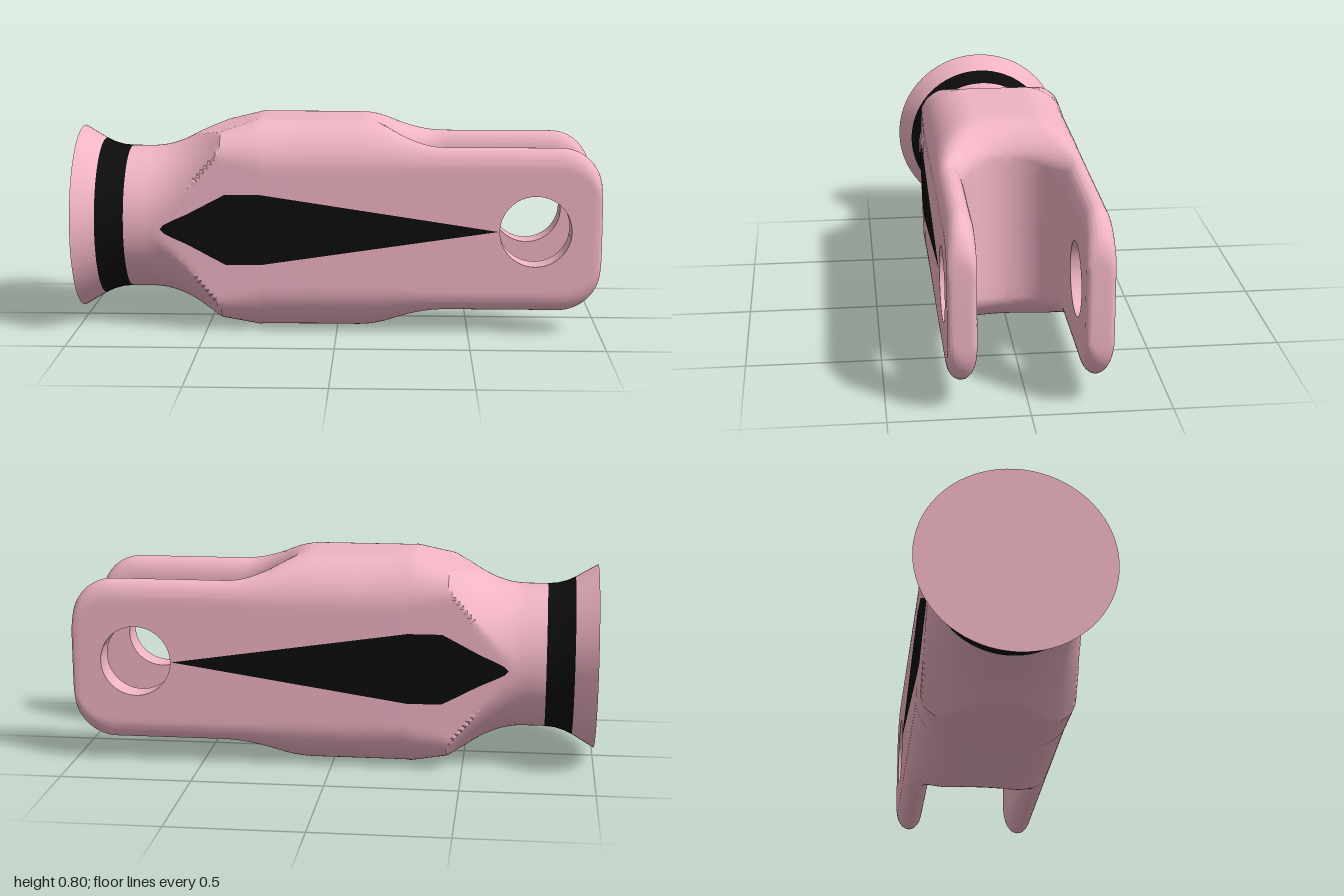
import * as THREE from 'three';
import { mergeGeometries, toCreasedNormals } from 'three/addons/utils/BufferGeometryUtils.js';

const MID = 0.402; // height of the long axis
const { clamp, lerp, smoothstep } = THREE.MathUtils;
const root = (v) => Math.sqrt(Math.max(0, v));

// Slot between the prongs, and pin hole
const SLOT = { x: 0.42, r: 0.185 };
const HOLE = { x: 0.75, r: 0.135 };

const pink = new THREE.MeshStandardMaterial({ color: 0xf0b4c4 });
const black = new THREE.MeshStandardMaterial({ color: 0x0c0c0c });
const blackThin = new THREE.MeshStandardMaterial({ color: 0x0c0c0c, side: THREE.DoubleSide });

// Half width, half height and round flare of the body along x
const endInset = (x) => (x > 0.98 ? 0.02 - root(0.02 ** 2 - (x - 0.98) ** 2) : 0);
const halfWidth = (x) => lerp(0.277, 0.288, clamp((x + 0.81) / 0.53, 0, 1)) - endInset(x);
const flare = (x) => 0.277 + 1.68 * Math.max(0, x + 0.73) ** 2;
function halfHeight(x) {
  if (x > 0.84) return 0.152 + root(0.16 ** 2 - (x - 0.84) ** 2);
  return lerp(0.277, 0.402, clamp((x + 0.73) / 0.43, 0, 1)) - 0.09 * smoothstep(x, 0.08, 0.42);
}

// Drop of an elliptical edge rounding at distance d from the edge
const drop = (d, rz, ry) => (d >= rz ? 0 : ry * (1 - root(1 - ((rz - Math.max(d, 0)) / rz) ** 2)));

// Height of the top surface, rounded on its outer edge and around the slot
function topHeight(x, z) {
  const t = smoothstep(x, 0.08, 0.42);
  const corner = clamp(0.1 + 0.5 * (x + 0.44), 0.03, 0.18);
  const outer = drop(halfWidth(x) - z, lerp(corner, 0.052, t), lerp(corner, 0.08, t));
  const d = Math.hypot(Math.min(x - SLOT.x, 0), z) - SLOT.r;
  const rz = lerp(0.052, 0.13, clamp((SLOT.x - x) / SLOT.r, 0, 1));
  return halfHeight(x) - outer - drop(d, rz, 0.08);
}

// One quarter of the cross-section at x, as a loop of [y, z]
function section(x) {
  const w = halfWidth(x);
  const y0 = root(HOLE.r ** 2 - (x - HOLE.x) ** 2);
  const zi = (x >= SLOT.x ? SLOT.r : root(SLOT.r ** 2 - (x - SLOT.x) ** 2)) + endInset(x);
  const pts = [];
  const side = topHeight(x, w);
  const inner = topHeight(x, zi);
  for (let i = 0; i < 2; i++) pts.push([y0, lerp(zi, w, i / 2)]);
  for (let i = 0; i < 14; i++) pts.push([lerp(y0, side, i / 14), w]);
  for (let i = 0; i < 26; i++) {
    const z = lerp(w, zi, (1 - Math.cos((Math.PI * i) / 26)) / 2);
    pts.push([topHeight(x, z), z]);
  }
  for (let i = 0; i <= 6; i++) pts.push([lerp(inner, y0, i / 6), zi]);
  // The round flare trims the corners
  return pts.map(([y, z]) => {
    const s = Math.min(1, flare(x) / Math.max(Math.hypot(y, z), 1e-6));
    return [y * s, z * s];
  });
}

// Stations along x, packed closely where the form curves
function stations() {
  const xs = [-0.81];
  const add = (to, n, ease = (t) => t) => {
    const from = xs[xs.length - 1];
    for (let i = 1; i <= n; i++) xs.push(lerp(from, to, ease(i / n)));
  };
  const both = (t) => (1 - Math.cos(Math.PI * t)) / 2;
  const late = (t) => Math.sin((Math.PI / 2) * t);
  add(-0.73, 2);
  add(-0.44, 20);
  add(-0.28, 8);
  add(0.08, 2);
  add(SLOT.x - SLOT.r, 12, late);
  add(SLOT.x, 16, (t) => 1 - Math.cos((Math.PI / 2) * t));
  add(HOLE.x - HOLE.r, 3);
  add(HOLE.x + HOLE.r, 28, both);
  add(0.98, 6);
  add(1, 6, late);
  return xs;
}

// Loft a quarter; sy and sz mirror it
function quarter(sy, sz) {
  const xs = stations();
  const loops = xs.map(section);
  const n = loops[0].length;
  const pos = [];
  const idx = [];
  loops.forEach((loop, i) => loop.forEach(([y, z]) => pos.push(xs[i], y * sy, z * sz)));
  const tri = (a, b, c) => {
    // Leave out faces lying on the mirror planes
    const flat = (k) => [a, b, c].every((v) => Math.abs(pos[v * 3 + k]) < 1e-6);
    if (flat(1) || flat(2)) return;
    if (sy * sz > 0) idx.push(a, b, c);
    else idx.push(a, c, b);
  };
  for (let i = 0; i < xs.length - 1; i++) {
    for (let j = 0; j < n - 1; j++) {
      const a = i * n + j;
      tri(a, a + n, a + 1);
      tri(a + 1, a + n, a + n + 1);
    }
  }
  const last = (xs.length - 1) * n;
  for (let j = 1; j < n - 1; j++) tri(last, last + j + 1, last + j);
  const geo = new THREE.BufferGeometry();
  geo.setAttribute('position', new THREE.Float32BufferAttribute(pos, 3));
  geo.setIndex(idx);
  return geo;
}

// Round part turned about the long axis; points are [radius, x]
function turned(points) {
  const geo = new THREE.LatheGeometry(points.map(([r, x]) => new THREE.Vector2(r, x)), 72);
  return toCreasedNormals(geo.rotateZ(-Math.PI / 2), 0.6);
}

// Dark pointed inlay lying on the side face
function inlay(side) {
  const outline = [[-0.67, 0], [-0.655, 0.016], [-0.62, 0.034], [-0.57, 0.056], [-0.52, 0.082],
    [-0.47, 0.109], [-0.42, 0.135], [-0.29, 0.135], [0.61, 0]];
  const m = 8;
  const pos = [];
  const idx = [];
  outline.forEach(([x, b], i) => {
    for (let j = 0; j <= m; j++) {
      const y = lerp(-b, b, j / m);
      pos.push(x, y, side * (Math.min(halfWidth(x), root(flare(x) ** 2 - y * y)) + 0.002));
      if (i < outline.length - 1 && j < m) {
        const a = i * (m + 1) + j;
        const c = a + m + 1;
        if (side > 0) idx.push(a, c, a + 1, a + 1, c, c + 1);
        else idx.push(a, a + 1, c, a + 1, c + 1, c);
      }
    }
  });
  const geo = new THREE.BufferGeometry();
  geo.setAttribute('position', new THREE.Float32BufferAttribute(pos, 3));
  geo.setIndex(idx);
  geo.computeVertexNormals();
  return geo;
}

export function createModel() {
  const group = new THREE.Group();
  group.name = 'forkedClevis';
  const add = (name, geo, material) => {
    const mesh = new THREE.Mesh(geo, material);
    mesh.name = name;
    mesh.position.y = MID;
    group.add(mesh);
  };
  const quarters = [[1, 1], [-1, 1], [1, -1], [-1, -1]].map(([sy, sz]) => quarter(sy, sz));
  add('forkBody', toCreasedNormals(mergeGeometries(quarters), 0.5), pink);
  add('endFlange', turned([[0, -1], [0.355, -1], [0.305, -0.915]]), pink);
  add('neckBand', turned([[0.305, -0.915], [0.291, -0.885], [0.281, -0.85], [0.277, -0.81]]), black);
  add('leftInlay', inlay(1), blackThin);
  add('rightInlay', inlay(-1), blackThin);
  return group;
}
